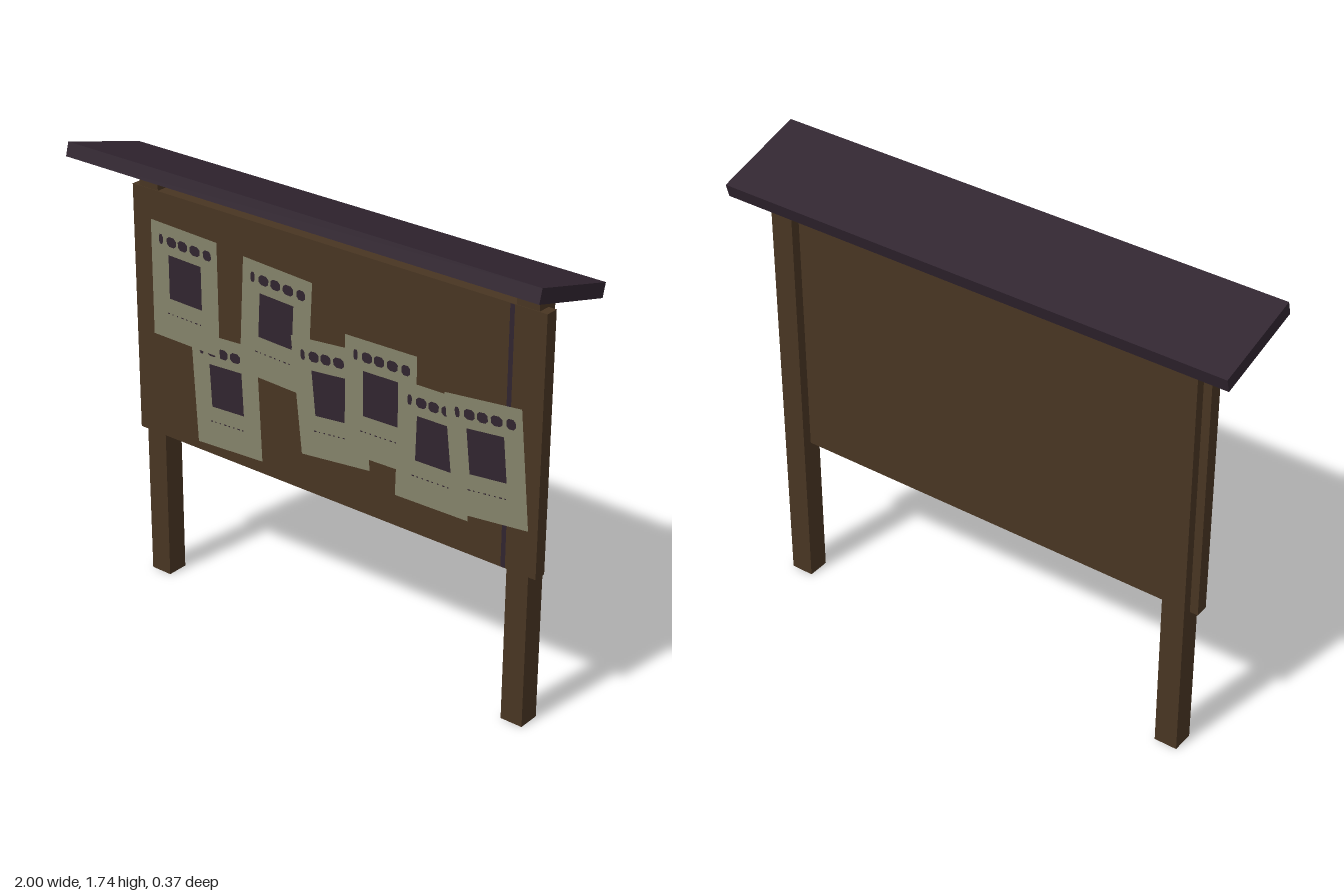
import * as THREE from 'three';

const wood = new THREE.MeshStandardMaterial({ color: 0x483522 });
wood.name = 'brown wood';
const dark = new THREE.MeshStandardMaterial({ color: 0x30242f });
dark.name = 'dark plum';
const paper = new THREE.MeshStandardMaterial({ color: 0x84826a });
paper.name = 'old paper';

const BOARD_FRONT = -0.03;

function box(parent, name, mat, size, pos) {
  const mesh = new THREE.Mesh(new THREE.BoxGeometry(...size), mat);
  mesh.name = name;
  mesh.position.set(...pos);
  parent.add(mesh);
  return mesh;
}

// Flat sheet facing +z from corner points listed around its outline
function sheet(parent, name, mat, points, z) {
  const shape = new THREE.Shape(points.map(([x, y]) => new THREE.Vector2(x, y)));
  const mesh = new THREE.Mesh(new THREE.ShapeGeometry(shape), mat);
  mesh.name = name;
  mesh.position.z = z;
  parent.add(mesh);
}

// Notice: corners are top left, top right, bottom right, bottom left
function makePoster(corners, z) {
  const [tl, tr, br, bl] = corners;
  const poster = new THREE.Group();
  poster.name = 'poster';
  // position on the sheet: u runs left to right, v runs top to bottom
  const at = (u, v) => [0, 1].map((i) =>
    (tl[i] * (1 - u) + tr[i] * u) * (1 - v) + (bl[i] * (1 - u) + br[i] * u) * v);
  const patch = (name, u0, u1, v0, v1, cut = 0) => {
    const du = (u1 - u0) * cut, dv = (v1 - v0) * cut;
    const uv = cut
      ? [[u0 + du, v0], [u1 - du, v0], [u1, v0 + dv], [u1, v1 - dv],
        [u1 - du, v1], [u0 + du, v1], [u0, v1 - dv], [u0, v0 + dv]]
      : [[u0, v0], [u1, v0], [u1, v1], [u0, v1]];
    sheet(poster, name, dark, uv.map(([u, v]) => at(u, v)), z + 0.0006);
  };

  sheet(poster, 'paperSheet', paper, corners, z);
  patch('portrait', 0.26, 0.75, 0.26, 0.64);
  // headline blots
  for (const [u0, u1] of [[0.12, 0.18], [0.24, 0.38], [0.41, 0.55], [0.59, 0.74], [0.79, 0.91]]) {
    patch('headlineBlot', u0, u1, 0.1, 0.185, 0.25);
  }
  // faint small print
  for (let i = 0; i < 8; i++) {
    const u = 0.22 + i * 0.07;
    patch('smallPrint', u, u + (i % 3 ? 0.02 : 0.035), 0.77, 0.78);
  }
  return poster;
}

export function createModel() {
  const model = new THREE.Group();
  model.name = 'noticeBoard';

  // Posts run up into the underside of the roof
  for (const side of [-1, 1]) {
    box(model, side < 0 ? 'rightPost' : 'leftPost', wood,
      [0.088, 1.635, 0.085], [side * 0.815, 0.8175, -0.0745]);
  }

  // Board stands just proud of the post fronts
  box(model, 'board', wood, [1.78, 0.962, 0.05], [0, 1.075, BOARD_FRONT - 0.025]);
  sheet(model, 'darkSeam', dark,
    [[0.748, 0.596], [0.766, 0.596], [0.766, 1.555], [0.748, 1.555]], BOARD_FRONT + 0.0008);

  // Sloping roof plank, high at the front
  const roof = box(model, 'roof', dark, [2, 0.052, 0.366], [0, 1.669, 0]);
  roof.rotation.x = -THREE.MathUtils.degToRad(15.5);

  // Posters, lowest layer first
  const posters = [
    [[-0.628, 1.064], [-0.318, 1.08], [-0.297, 0.642], [-0.602, 0.626]],
    [[-0.805, 1.444], [-0.495, 1.433], [-0.49, 0.995], [-0.805, 1.0]],
    [[-0.372, 1.417], [-0.063, 1.401], [-0.085, 0.965], [-0.395, 0.975]],
    [[-0.158, 1.182], [0.152, 1.21], [0.193, 0.77], [-0.11, 0.738]],
    [[0.083, 1.256], [0.388, 1.262], [0.388, 0.818], [0.083, 0.81]],
    [[0.318, 1.16], [0.62, 1.165], [0.612, 0.722], [0.305, 0.717]],
    [[0.505, 1.171], [0.815, 1.203], [0.858, 0.77], [0.555, 0.738]],
  ];
  posters.forEach((corners, i) => {
    // corners reversed in the outline are handled by the shape triangulation
    model.add(makePoster(corners, BOARD_FRONT + 0.0016 + i * 0.0012));
  });

  return model;
}
